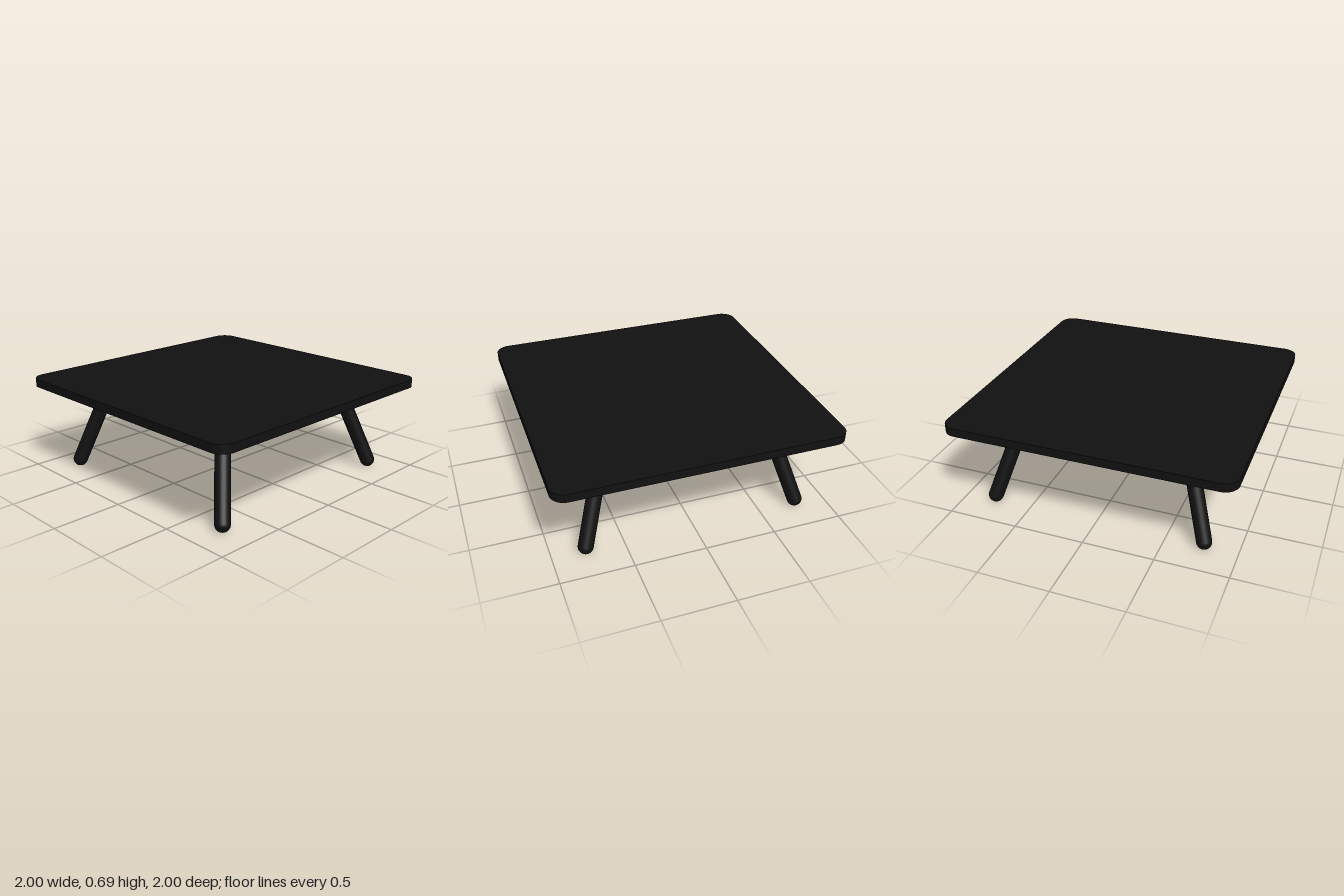
import * as THREE from 'three';

const TOP_Y = 0.69, UNDER_Y = 0.63, PLATE_Y = 0.618, LEG_R = 0.053, FOOT_Y = 0.048;

// Square outline with rounded corners, centred on the origin
function roundedSquare(h, r) {
  const s = new THREE.Shape();
  s.absarc(h - r, h - r, r, 0, Math.PI / 2);
  s.absarc(-h + r, h - r, r, Math.PI / 2, Math.PI);
  s.absarc(-h + r, -h + r, r, Math.PI, Math.PI * 1.5);
  s.absarc(h - r, -h + r, r, Math.PI * 1.5, Math.PI * 2);
  s.closePath();
  return s;
}

function addMesh(parent, name, geometry, material) {
  const mesh = new THREE.Mesh(geometry, material);
  mesh.name = name;
  parent.add(mesh);
  return mesh;
}

export function createModel() {
  const model = new THREE.Group();
  model.name = 'table';
  const black = new THREE.MeshStandardMaterial({ color: 0x111111 });

  // Table top
  const topGeo = new THREE.ExtrudeGeometry(roundedSquare(1, 0.1), {
    depth: TOP_Y - UNDER_Y, bevelEnabled: false, curveSegments: 16,
  });
  topGeo.rotateX(-Math.PI / 2);
  addMesh(model, 'tableTop', topGeo, black).position.y = UNDER_Y;

  // Ball foot, flattened where it meets the floor
  const footGeo = new THREE.SphereGeometry(LEG_R, 32, 24);
  const p = footGeo.attributes.position;
  for (let i = 0; i < p.count; i++) p.setY(i, Math.max(p.getY(i), -FOOT_Y));
  footGeo.computeVertexNormals();

  const plateGeo = new THREE.CylinderGeometry(0.1875, 0.1875, UNDER_Y - PLATE_Y, 48);
  const up = new THREE.Vector3(0, 1, 0);

  // Four legs splayed towards the corners
  for (const [x, z, name] of [
    [1, 1, 'frontLeftLeg'], [-1, 1, 'frontRightLeg'],
    [1, -1, 'backLeftLeg'], [-1, -1, 'backRightLeg'],
  ]) {
    const leg = new THREE.Group();
    leg.name = name;
    const foot = new THREE.Vector3(0.768 * x, FOOT_Y, 0.768 * z);
    const head = new THREE.Vector3(0.582 * x, 0.645, 0.582 * z);
    const axis = head.clone().sub(foot);

    const shaft = addMesh(leg, 'shaft',
      new THREE.CylinderGeometry(LEG_R, LEG_R, axis.length(), 32, 1, true), black);
    shaft.position.copy(foot).lerp(head, 0.5);
    shaft.quaternion.setFromUnitVectors(up, axis.normalize());

    addMesh(leg, 'foot', footGeo, black).position.copy(foot);
    addMesh(leg, 'mountingPlate', plateGeo, black)
      .position.set(0.5875 * x, (UNDER_Y + PLATE_Y) / 2, 0.5875 * z);
    model.add(leg);
  }
  return model;
}
